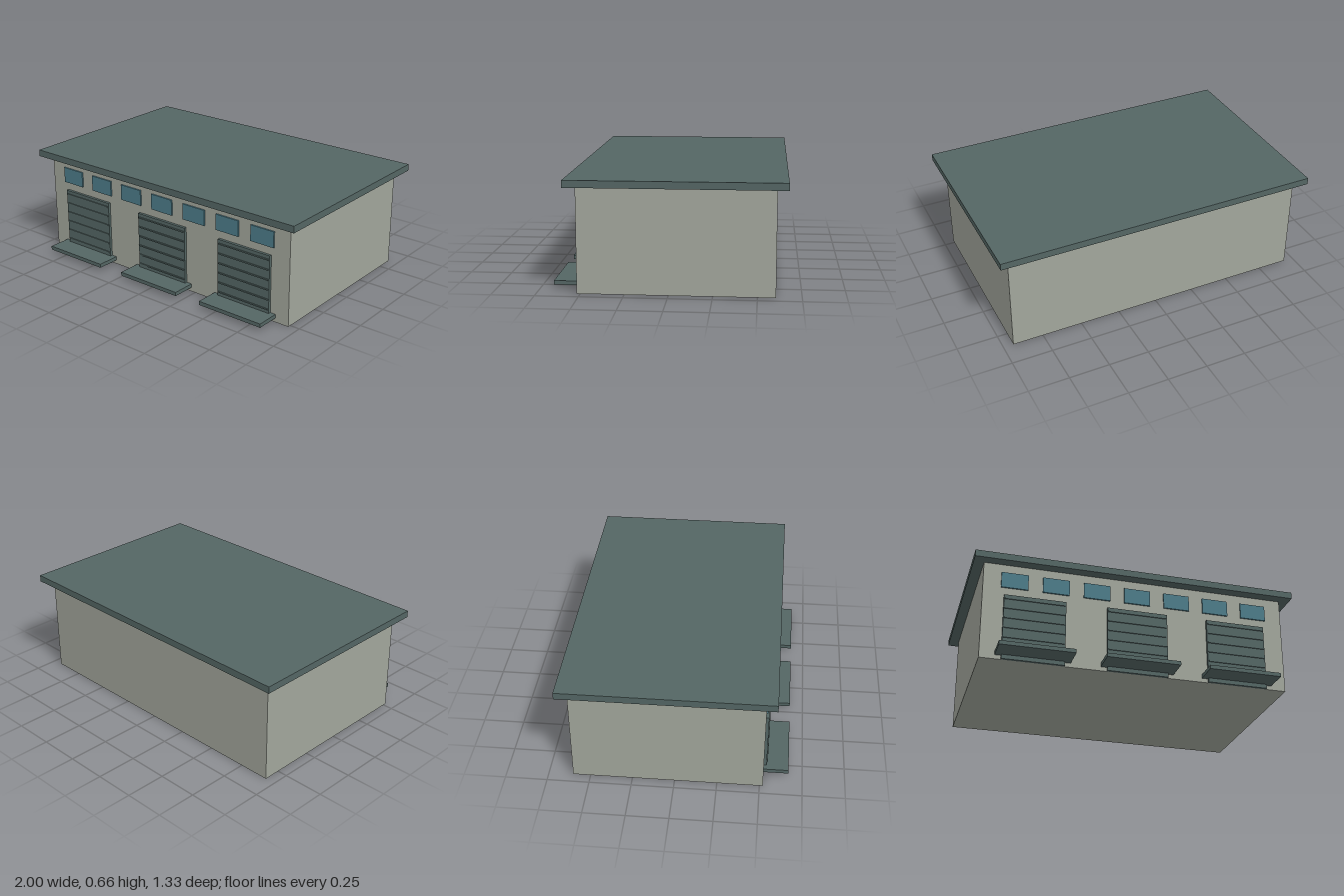
import * as THREE from 'three';

function material(name, color) {
  const m = new THREE.MeshStandardMaterial({ color });
  m.name = name;
  return m;
}

export function createModel() {
  const wall = material('pale wall', 0xa2a69c);
  const trim = material('slate trim', 0x546664);
  const glass = material('blue glass', 0x4d7c89);

  const model = new THREE.Group();
  model.name = 'warehouse';

  // Box given by its centre x, width, and y and z ranges
  function box(parent, name, mat, x, width, [y0, y1], [z0, z1]) {
    const mesh = new THREE.Mesh(new THREE.BoxGeometry(width, y1 - y0, z1 - z0), mat);
    mesh.position.set(x, (y0 + y1) / 2, (z0 + z1) / 2);
    mesh.name = name;
    parent.add(mesh);
  }

  // Building and flat overhanging roof
  box(model, 'walls', wall, 0, 1.876, [0, 0.618], [-0.604, 0.52]);
  box(model, 'roof', trim, 0, 2, [0.618, 0.66], [-0.667, 0.583]);

  // Three loading bays: shutter with ribs, and a dock platform
  for (const x of [-0.625, 0, 0.625]) {
    const bay = new THREE.Group();
    bay.name = 'loadingBay';
    bay.position.x = x;
    model.add(bay);
    box(bay, 'shutter', trim, 0, 0.372, [0, 0.413], [0.52, 0.537]);
    for (let i = 0; i < 6; i++) {
      const y = 0.075 + i * 0.0625;
      box(bay, 'shutterRib', trim, 0, 0.36, [y - 0.004, y + 0.004], [0.537, 0.543]);
    }
    box(bay, 'dockPlatform', trim, 0, 0.445, [0.026, 0.05], [0.52, 0.667]);
  }

  // Row of high windows
  for (let i = -3; i <= 3; i++) {
    box(model, 'window', glass, i * 0.25, 0.162, [0.464, 0.563], [0.522, 0.531]);
  }

  return model;
}
